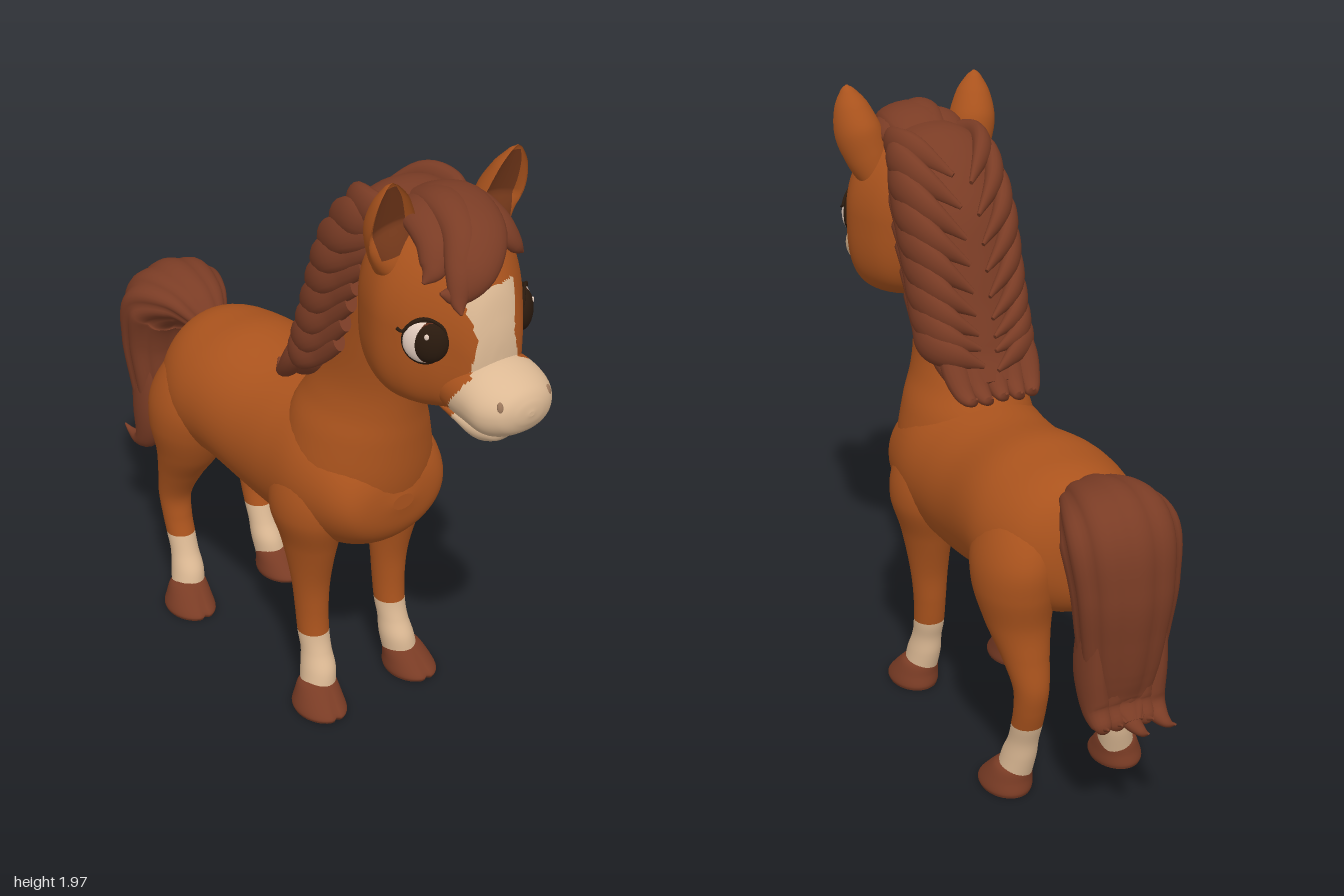
import * as THREE from 'three';

const mat = (name, color) => {
  const m = new THREE.MeshStandardMaterial({ color });
  m.name = name;
  return m;
};
const coat = mat('chestnut coat', 0xaa531d);
const hair = mat('dark brown hair', 0x7a3c25);
const cream = mat('cream markings', 0xdcb994);
const earInner = mat('inner ear', 0x74381a);
const dark = mat('dark eye', 0x2a1a0e);
const irisBrown = mat('brown iris', 0x5c2a18);
const white = mat('eye white', 0xe6cfc0);
const nostrilTone = mat('nostril', 0x9c785c);

const V = (x, y, z) => new THREE.Vector3(x, y, z);
const clamp = THREE.MathUtils.clamp;

// Smooth skin over elliptical sections: rows of [x, y, z, halfWidth, halfDepth].
// T fixes the section plane, center makes the depth axis point away from a point,
// sq squares off the lower half, shape scales the axes, paint picks a material index.
function loft(name, mats, rows, { n = 28, m = 6, T, center, sq = 2, shape, paint } = {}) {
  const path = new THREE.CatmullRomCurve3(rows.map(r => V(r[0], r[1], r[2])), false, 'catmullrom');
  const radii = new THREE.CatmullRomCurve3(rows.map(r => V(r[3], r[4], 0)), false, 'catmullrom');
  const rings = (rows.length - 1) * m, pos = [], groups = mats.map(() => []);
  for (let i = 0; i <= rings; i++) {
    const t = i / rings, p = path.getPoint(t), r = radii.getPoint(t);
    const tan = T ? T.clone() : path.getTangent(t);
    let S, N;
    if (center) {
      N = p.clone().sub(center);
      N.addScaledVector(tan, -N.dot(tan)).normalize();
      S = N.clone().cross(tan);
    } else {
      S = V(1, 0, 0).addScaledVector(tan, -tan.x).normalize();
      N = tan.clone().cross(S);
    }
    for (let j = 0; j < n; j++) {
      const a = j / n * Math.PI * 2, e = Math.sin(a) < 0 ? 2 / sq : 1;
      const c = Math.sign(Math.cos(a)) * Math.abs(Math.cos(a)) ** e;
      const s = Math.sign(Math.sin(a)) * Math.abs(Math.sin(a)) ** e;
      const [kx, ky] = shape ? shape(a, t) : [1, 1];
      const q = p.clone().addScaledVector(S, c * kx * Math.max(r.x, 0.002))
        .addScaledVector(N, s * ky * Math.max(r.y, 0.002));
      pos.push(q.x, q.y, q.z);
    }
  }
  const at = k => V(pos[3 * k], pos[3 * k + 1], pos[3 * k + 2]);
  for (let i = 0; i < rings; i++) for (let j = 0; j < n; j++) {
    const k = (j + 1) % n, a = i * n + j, b = i * n + k, c = a + n, d = b + n;
    const mid = at(a).add(at(b)).add(at(c)).add(at(d)).multiplyScalar(0.25);
    const g = paint ? paint(mid, (i + 0.5) / rings, (j + 0.5) / n * Math.PI * 2) : 0;
    groups[g].push(a, b, d, a, d, c);
  }
  // End caps with their own vertices, so that their rims stay sharp
  for (const end of [0, rings]) {
    const base = pos.length / 3, mid = V(0, 0, 0);
    for (let j = 0; j < n; j++) { const q = at(end * n + j); pos.push(q.x, q.y, q.z); mid.addScaledVector(q, 1 / n); }
    pos.push(mid.x, mid.y, mid.z);
    const g = paint ? paint(mid, end / rings, 0) : 0;
    for (let j = 0; j < n; j++) {
      const k = (j + 1) % n;
      groups[g].push(base + n, base + (end ? j : k), base + (end ? k : j));
    }
  }
  const geo = new THREE.BufferGeometry();
  geo.setAttribute('position', new THREE.Float32BufferAttribute(pos, 3));
  geo.setIndex(groups.flat());
  let start = 0;
  groups.forEach((g, i) => { geo.addGroup(start, g.length, i); start += g.length; });
  geo.computeVertexNormals();
  const mesh = new THREE.Mesh(geo, mats.length > 1 ? mats : mats[0]);
  mesh.name = name;
  return mesh;
}

// Section helpers: along z [z, top, bottom, halfWidth], and up y [y, front, back, halfWidth]
const alongZ = r => r.map(([z, t, b, w]) => [0, (t + b) / 2, z, w, (t - b) / 2]);
const upY = r => r.map(([y, f, b, w]) => [0, y, (f + b) / 2, w, (f - b) / 2]);
const Z = V(0, 0, 1), UP = V(0, 1, 0), DOWN = V(0, -1, 0);

function ball(name, material, p, r, dir = Z) {
  const mesh = new THREE.Mesh(new THREE.SphereGeometry(1, 28, 20), material);
  mesh.name = name;
  mesh.scale.set(...r);
  mesh.position.copy(p);
  mesh.quaternion.setFromUnitVectors(Z, dir.clone().normalize());
  return mesh;
}

export function createModel() {
  const horse = new THREE.Group();
  horse.name = 'horse';

  // Trunk and neck
  horse.add(loft('body', [coat], alongZ([
    [-0.632, 0.85, 0.79, 0.03], [-0.615, 0.95, 0.69, 0.12], [-0.57, 1.03, 0.63, 0.195], [-0.5, 1.067, 0.605, 0.24],
    [-0.4, 1.08, 0.6, 0.268], [-0.28, 1.087, 0.6, 0.265], [-0.1, 1.06, 0.565, 0.25], [0.05, 1.06, 0.553, 0.252],
    [0.2, 1.07, 0.56, 0.258], [0.32, 1.03, 0.59, 0.238], [0.4, 0.97, 0.635, 0.205], [0.442, 0.9, 0.69, 0.15],
    [0.46, 0.82, 0.77, 0.04]]), { T: Z, n: 48 }));
  horse.add(loft('neck', [coat], upY([
    [0.68, 0.42, 0.05, 0.2], [0.85, 0.462, 0, 0.23], [1, 0.475, 0, 0.203], [1.1, 0.48, 0.05, 0.16],
    [1.2, 0.495, 0.1, 0.135], [1.35, 0.53, 0.16, 0.13], [1.5, 0.55, 0.22, 0.13], [1.65, 0.5, 0.28, 0.12]]),
  { T: UP, n: 40 }));

  // Head with pale blaze and muzzle
  const face = p => (p.z > 0.87 - 0.58 * (1.44 - Math.min(p.y, 1.44))
    || (p.z > 0.7 && p.y > 1.38 && p.y < 1.67 && Math.abs(p.x + 0.012) < 0.062 + 0.22 * Math.abs(p.y - 1.53))) ? 1 : 0;
  const headStyle = { T: Z, n: 80, m: 12, paint: face };
  horse.add(loft('head', [coat, cream], alongZ([
    [0.345, 1.64, 1.52, 0.03], [0.375, 1.71, 1.42, 0.1], [0.43, 1.77, 1.335, 0.16], [0.5, 1.82, 1.29, 0.21],
    [0.6, 1.84, 1.268, 0.241], [0.68, 1.82, 1.268, 0.223], [0.75, 1.775, 1.28, 0.177], [0.8, 1.72, 1.295, 0.135],
    [0.835, 1.655, 1.31, 0.104], [0.855, 1.58, 1.33, 0.078], [0.865, 1.52, 1.36, 0.04], [0.868, 1.46, 1.42, 0.01]]),
  { ...headStyle, sq: 3.3 }));
  horse.add(loft('muzzle', [coat, cream], alongZ([
    [0.66, 1.43, 1.3, 0.12], [0.76, 1.455, 1.28, 0.14], [0.85, 1.462, 1.262, 0.142], [0.92, 1.442, 1.254, 0.135],
    [0.97, 1.414, 1.278, 0.1], [0.992, 1.385, 1.31, 0.055], [1, 1.355, 1.34, 0.01]]), { ...headStyle, n: 56, sq: 2.2 }));
  horse.add(loft('chin', [coat, cream], alongZ([
    [0.68, 1.32, 1.272, 0.1], [0.76, 1.31, 1.24, 0.095], [0.83, 1.3, 1.2, 0.08], [0.88, 1.285, 1.21, 0.058],
    [0.9, 1.27, 1.232, 0.02]]), { ...headStyle, n: 40 }));

  for (const s of [1, -1]) {
    const side = s > 0 ? 'left' : 'right';

    // Eye: dark rim, white, iris, pupil, glint and lashes
    const eye = new THREE.Group();
    eye.name = side + 'Eye';
    eye.position.set(s * 0.173, 1.52, 0.748);
    eye.rotation.y = s * Math.atan2(0.7, 0.71);
    eye.add(ball('eyeRim', dark, V(0, 0, -0.002), [0.069, 0.073, 0.022]));
    eye.add(ball('eyeWhite', white, V(s * 0.002, 0, 0), [0.064, 0.066, 0.028]));
    eye.add(ball('iris', irisBrown, V(-s * 0.007, 0, 0.002), [0.056, 0.064, 0.03]));
    eye.add(ball('pupil', dark, V(-s * 0.011, 0, 0.004), [0.054, 0.062, 0.032]));
    eye.add(ball('glint', white, V(-s * 0.004, 0.028, 0.032), [0.007, 0.009, 0.004]));
    const lid = [[-0.06, 0], [-0.045, 0.048], [0, 0.071], [0.045, 0.052], [0.066, 0.03], [0.082, 0.04]];
    const lash = new THREE.Mesh(new THREE.TubeGeometry(new THREE.CatmullRomCurve3(
      lid.map(([x, y]) => V(s * x, y, 0.008))), 30, 0.005, 8), dark);
    lash.name = 'lashes';
    eye.add(lash);
    horse.add(eye);

    horse.add(ball(side + 'Nostril', nostrilTone, V(s * 0.088, 1.38, 0.967), [0.009, 0.016, 0.006], V(s * 0.5, 0.3, 0.8)));

    // Cupped ear, open to the front
    horse.add(loft(side + 'Ear', [coat, earInner], [
      [s * 0.15, 1.66, 0.57, 0.05, 0.045], [s * 0.177, 1.74, 0.6, 0.072, 0.07], [s * 0.2, 1.82, 0.628, 0.077, 0.085],
      [s * 0.214, 1.9, 0.645, 0.056, 0.06], [s * 0.221, 1.95, 0.65, 0.024, 0.026], [s * 0.222, 1.967, 0.65, 0.003, 0.003]], {
      n: 40, m: 8,
      shape: (a, t) => [1, Math.sin(a) < 0 ? 1 - 1.3 * clamp((t - 0.12) * 4, 0, 1) : 1],
      paint: (p, t, a) => (Math.sin(a) < -0.66 && t > 0.22 && t < 0.8 ? 1 : 0),
    }));

    // Legs with pale socks; the right hind foot stands slightly wider
    const legStyle = { T: DOWN, n: 32, m: 12, paint: p => (p.y < 0.257 ? 1 : 0) };
    const wide = s > 0 ? 0 : 0.016;
    horse.add(loft(side + 'FrontLeg', [coat, cream], [
      [s * 0.13, 0.94, 0.2, 0.06, 0.09], [s * 0.16, 0.82, 0.2, 0.097, 0.14], [s * 0.168, 0.71, 0.2, 0.107, 0.145],
      [s * 0.163, 0.59, 0.2, 0.08, 0.105], [s * 0.157, 0.45, 0.2, 0.062, 0.066], [s * 0.155, 0.34, 0.202, 0.053, 0.056],
      [s * 0.155, 0.25, 0.211, 0.05, 0.053], [s * 0.156, 0.19, 0.227, 0.048, 0.053], [s * 0.16, 0.13, 0.243, 0.054, 0.063],
      [s * 0.17, 0.06, 0.255, 0.056, 0.06]], legStyle));
    horse.add(loft(side + 'HindLeg', [coat, cream], [
      [s * 0.1, 1, -0.43, 0.06, 0.08], [s * 0.135, 0.91, -0.44, 0.105, 0.135], [s * 0.162, 0.81, -0.448, 0.122, 0.165],
      [s * 0.168, 0.71, -0.458, 0.122, 0.152], [s * 0.165, 0.6, -0.475, 0.1, 0.115], [s * (0.16 + wide / 2), 0.5, -0.517, 0.075, 0.08],
      [s * (0.155 + wide), 0.4, -0.552, 0.056, 0.057], [s * (0.155 + wide), 0.32, -0.545, 0.05, 0.051],
      [s * (0.155 + wide), 0.25, -0.525, 0.048, 0.05], [s * (0.156 + wide), 0.19, -0.504, 0.047, 0.05],
      [s * (0.16 + wide), 0.13, -0.483, 0.053, 0.06], [s * (0.17 + wide), 0.06, -0.468, 0.056, 0.058]], legStyle));

    // Hooves, sloping to the toe and notched at the front
    for (const [name, z, out] of [['FrontHoof', 0.283, 0], ['HindHoof', -0.436, wide]]) {
      const x = s * (0.185 + out);
      horse.add(loft(side + name, [hair], [
        [x - s * 0.016, 0.1, z - 0.02, 0.046, 0.036], [x - s * 0.012, 0.085, z - 0.026, 0.062, 0.062],
        [x - s * 0.004, 0.045, z - 0.01, 0.074, 0.086], [x, 0.015, z, 0.08, 0.103], [x, 0, z, 0.076, 0.099]], {
        T: DOWN, n: 40, shape: (a, t) => [1, 1 - 0.14 * t * Math.exp(-(((a - Math.PI / 2) / 0.12) ** 2))],
      }));
    }
  }

  // Mane: a full core along the crest, covered with long overlapping locks
  const crest = [
    [0, 1.81, 0.54, 0.11, 0.05], [0, 1.765, 0.42, 0.15, 0.085], [0, 1.62, 0.315, 0.165, 0.105], [0, 1.47, 0.255, 0.162, 0.105],
    [0, 1.32, 0.203, 0.162, 0.098], [0, 1.2, 0.145, 0.158, 0.082], [0, 1.115, 0.06, 0.12, 0.04]];
  horse.add(loft('maneCore', [hair], crest, { n: 32 }));
  const line = new THREE.CatmullRomCurve3(crest.map(r => V(r[0], r[1], r[2])), false, 'catmullrom');
  const size = new THREE.CatmullRomCurve3(crest.map(r => V(r[3], r[4], 0)), false, 'catmullrom');
  for (const s of [1, -1]) for (let i = 0; i < 9; i++) {
    const s0 = -0.1 + i * 0.085 + (s > 0 ? 0 : 0.025), rows = [];
    for (let j = 0; j < 5; j++) {
      const t = clamp(s0 + j * 0.09, 0.01 * j, 1 - 0.01 * (4 - j)), phi = -1.15 + j * 0.64;
      const p = line.getPoint(t), r = size.getPoint(t), d = line.getTangent(t);
      p.add(V(s * r.x * Math.cos(Math.max(phi, -0.4)), 0, 0)).addScaledVector(V(0, -d.z, d.y), r.y * Math.sin(phi) * (j ? 0.98 + j * 0.025 : 1.2));
      rows.push([p.x, p.y, p.z, [0.032, 0.052, 0.058, 0.046, 0.008][j], [0.02, 0.03, 0.034, 0.03, 0.006][j]]);
    }
    horse.add(loft('maneLock', [hair], rows, { n: 16, center: line.getPoint(clamp(s0 + 0.18, 0, 1)).add(V(0, 0, 0.05)) }));
  }
  // Loose tips at the foot of the mane
  [-0.13, -0.075, -0.02, 0.045, 0.1].forEach((x, i) => horse.add(loft('maneTip', [hair], [
    [x, 1.29, 0.15, 0.03, 0.03], [x * 1.05, 1.19, 0.1, 0.045, 0.035], [x, 1.12, 0.045, 0.035, 0.028],
    [x * 0.9, 1.1, -0.01 * (i % 2), 0.02, 0.016], [x * 0.85, 1.12, -0.025 - 0.012 * (i % 2), 0.004, 0.004]], { n: 14 })));

  // Forelock, swept over the brow
  const skull = V(0, 1.55, 0.55);
  for (const rows of [
    [[0.03, 1.77, 0.4, 0.05, 0.02], [0.03, 1.85, 0.58, 0.09, 0.035], [-0.01, 1.82, 0.74, 0.095, 0.045], [-0.07, 1.745, 0.815, 0.075, 0.045],
      [-0.13, 1.685, 0.82, 0.04, 0.03], [-0.18, 1.69, 0.81, 0.005, 0.005]],
    [[-0.05, 1.76, 0.4, 0.05, 0.02], [-0.075, 1.83, 0.58, 0.07, 0.035], [-0.11, 1.795, 0.7, 0.06, 0.04], [-0.15, 1.735, 0.745, 0.04, 0.03],
      [-0.19, 1.7, 0.75, 0.005, 0.005]],
    [[0.06, 1.76, 0.4, 0.05, 0.02], [0.08, 1.825, 0.58, 0.07, 0.035], [0.1, 1.795, 0.69, 0.06, 0.038], [0.135, 1.735, 0.735, 0.04, 0.028],
      [0.18, 1.685, 0.735, 0.005, 0.005]],
    [[0, 1.78, 0.4, 0.04, 0.02], [-0.02, 1.855, 0.6, 0.06, 0.035], [-0.06, 1.82, 0.74, 0.055, 0.045], [-0.11, 1.74, 0.81, 0.045, 0.035],
      [-0.14, 1.67, 0.84, 0.025, 0.02], [-0.15, 1.64, 0.865, 0.004, 0.004]],
  ]) horse.add(loft('forelock', [hair], rows, { n: 22, center: skull }));

  // Tail: grooved arch ending in flicked locks
  const groove = a => { const k = 0.93 + 0.08 * Math.abs(Math.sin(a * 5)); return [k, k]; };
  horse.add(loft('tail', [hair], [
    [0, 0.98, -0.56, 0.06, 0.045], [0, 1.03, -0.66, 0.125, 0.08], [0, 0.995, -0.79, 0.18, 0.128], [0, 0.85, -0.835, 0.168, 0.115],
    [0, 0.7, -0.832, 0.148, 0.103], [0, 0.56, -0.825, 0.125, 0.087], [0, 0.47, -0.85, 0.09, 0.05], [0, 0.43, -0.91, 0.03, 0.012]],
  { n: 60, m: 8, shape: groove }));
  [[-0.09, -0.985], [-0.05, -0.93], [0, -0.997], [0.045, -0.925], [0.09, -0.93]].forEach(([x, tip]) => horse.add(loft('tailLock', [hair], [
    [x * 1.1, 0.75, -0.83, 0.035, 0.06], [x * 1.1, 0.58, -0.82, 0.042, 0.072], [x, 0.47, -0.84, 0.042, 0.055],
    [x, 0.425, -0.885, 0.032, 0.028], [x, 0.42, tip + 0.04, 0.016, 0.013], [x * 1.05, 0.437, tip, 0.003, 0.003]], { n: 16 })));

  return horse;
}
